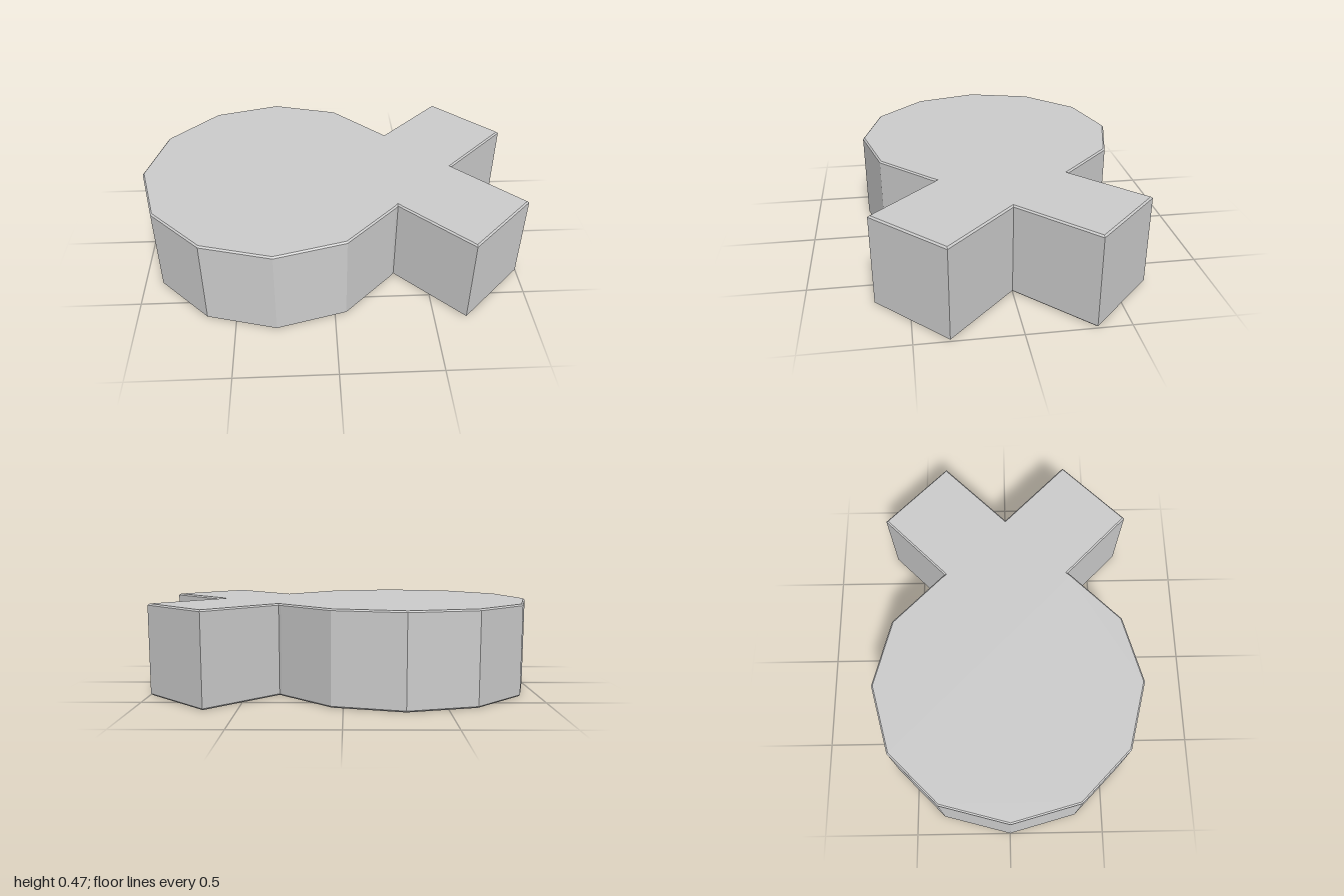
import * as THREE from 'three';

const HEIGHT = 0.475;
const BEVEL = 0.008;
const RADIUS = 0.705;
const CENTRE_X = -0.295;

export function createModel() {
  const group = new THREE.Group();
  group.name = 'forkedBlock';

  // One half of the outline: twelve-sided disc, then one square prong
  const half = [];
  for (let i = 0; i <= 5; i++) {
    const a = Math.PI - (i * Math.PI) / 6;
    half.push([CENTRE_X + RADIUS * Math.cos(a), RADIUS * Math.sin(a)]);
  }
  half.push([0.33, 0.335], [0.663, 0.667], [0.997, 0.335], [0.66, 0]);

  // Mirror the half, leaving out the two points on the axis
  const mirrored = half.slice(1, -1).reverse().map(([x, y]) => [x, -y]);
  const outline = [...half, ...mirrored].map(([x, y]) => new THREE.Vector2(x, y));

  // Extrude upwards with a fine bevel kept inside the outline
  const geometry = new THREE.ExtrudeGeometry(new THREE.Shape(outline), {
    depth: HEIGHT - 2 * BEVEL,
    bevelEnabled: true,
    bevelThickness: BEVEL,
    bevelSize: BEVEL,
    bevelOffset: -BEVEL,
    bevelSegments: 1,
  });
  geometry.rotateX(-Math.PI / 2).translate(0, BEVEL, 0);

  const body = new THREE.Mesh(
    geometry,
    new THREE.MeshStandardMaterial({ color: 0xcccccc, flatShading: true })
  );
  body.name = 'discWithTwoProngs';
  group.add(body);
  return group;
}
